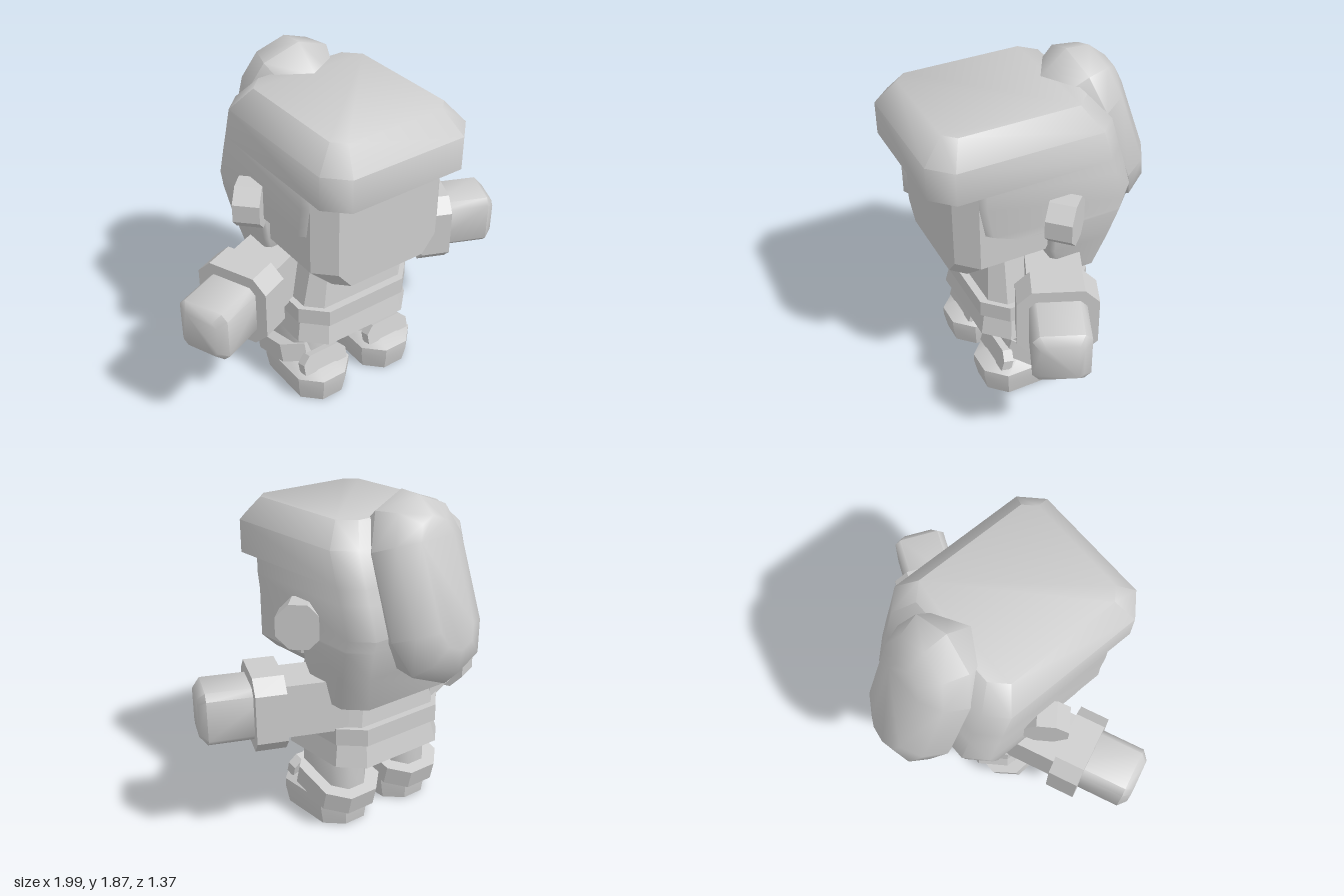
import * as THREE from 'three';
import { toCreasedNormals } from 'three/addons/utils/BufferGeometryUtils.js';

const clay = new THREE.MeshStandardMaterial({ color: 0xcccccc });
clay.name = 'light grey';

// Rectangle with cut corners at height y; cf and cb are the front and back cuts
function cutRect(y, hx, zBack, zFront, cf, cb = cf) {
  return [
    [hx, zBack + cb], [hx, zFront - cf], [hx - cf, zFront], [-hx + cf, zFront],
    [-hx, zFront - cf], [-hx, zBack + cb], [-hx + cb, zBack], [hx - cb, zBack],
  ].map(([x, z]) => [x, y, z]);
}

// Stadium outline: two half circles joined by straight sides
function stadium(y, r, z0, z1) {
  const ring = [];
  for (let i = 0; i < 10; i++) {
    const a = (i < 5 ? i : i - 1) * Math.PI / 4;
    ring.push([r * Math.cos(a), y, (i < 5 ? z1 : z0) + r * Math.sin(a)]);
  }
  return ring;
}

// Skin stacked rings from bottom to top and close both ends
function loft(rings, crease = 0.5) {
  const n = rings[0].length, last = (rings.length - 1) * n, index = [];
  for (let i = 0; i < rings.length - 1; i++) {
    for (let j = 0; j < n; j++) {
      const a = i * n + j, b = i * n + (j + 1) % n;
      index.push(a, a + n, b + n, a, b + n, b);
    }
  }
  for (let j = 1; j < n - 1; j++) {
    index.push(0, j, j + 1, last, last + j + 1, last + j);
  }
  const g = new THREE.BufferGeometry();
  g.setAttribute('position', new THREE.Float32BufferAttribute(rings.flat(2), 3));
  g.setIndex(index);
  return toCreasedNormals(g, crease);
}

function add(parent, name, geometry, x = 0, y = 0, z = 0) {
  const mesh = new THREE.Mesh(geometry, clay);
  mesh.name = name;
  mesh.position.set(x, y, z);
  parent.add(mesh);
  return mesh;
}

export function createModel() {
  const model = new THREE.Group();
  model.name = 'chunkyFigure';

  // Head
  add(model, 'face', loft([
    cutRect(0.9, 0.3, 0.0, 0.56, 0.07),
    cutRect(1.0, 0.41, 0.0, 0.56, 0.1),
    cutRect(1.5, 0.41, 0.0, 0.56, 0.1),
  ]));
  add(model, 'hair', loft([
    cutRect(0.77, 0.38, -0.3, 0.03, 0.04, 0.1),
    cutRect(0.97, 0.42, -0.36, 0.07, 0.02, 0.1),
    cutRect(1.13, 0.44, -0.41, 0.07, 0.02, 0.1),
    cutRect(1.14, 0.44, -0.41, 0.29, 0.03, 0.1),
    cutRect(1.2, 0.44, -0.43, 0.44, 0.04, 0.1),
    cutRect(1.37, 0.44, -0.38, 0.48, 0.05, 0.1),
    cutRect(1.45, 0.44, -0.354, 0.48, 0.05, 0.1),
    cutRect(1.45, 0.44, -0.354, 0.69, 0.11, 0.1),
    cutRect(1.63, 0.44, -0.3, 0.69, 0.11, 0.1),
    cutRect(1.75, 0.34, -0.2, 0.58, 0.06, 0.08),
  ], 0.85));

  // Long bun leaning against the back of the head
  const bun = add(model, 'hairBun', loft([
    stadium(0.66, 0.205, 0.96, 1.41),
    stadium(0.843, 0.275, 0.96, 1.41),
    stadium(0.965, 0.22, 0.96, 1.41),
    stadium(1.03, 0.11, 0.96, 1.41),
  ], 0.85));
  bun.rotation.x = -1.224;

  // Torso
  add(model, 'tunic', loft([
    cutRect(0.6, 0.335, -0.21, 0.36, 0.08),
    cutRect(0.95, 0.25, -0.17, 0.32, 0.06),
  ]));
  add(model, 'belt', loft([
    cutRect(0.53, 0.365, -0.25, 0.4, 0.12),
    cutRect(0.625, 0.365, -0.25, 0.4, 0.12),
  ]));
  add(model, 'skirt', loft([
    cutRect(0.4, 0.37, -0.25, 0.4, 0.12),
    cutRect(0.54, 0.34, -0.22, 0.37, 0.11),
  ]));

  for (const side of [1, -1]) {
    const label = side > 0 ? 'left' : 'right';

    // Ear, an eight-sided block turned half forward
    const ear = new THREE.Group();
    ear.name = label + 'Ear';
    ear.position.set(side * 0.466, 1.205, 0.02);
    ear.rotation.y = side * Math.PI / 4;
    const disc = new THREE.CylinderGeometry(0.13, 0.13, 0.14, 8)
      .rotateY(Math.PI / 8).rotateZ(Math.PI / 2);
    add(ear, label + 'EarBlock', toCreasedNormals(disc, 0.5));
    model.add(ear);

    // Arm, built pointing outward and swung forward
    const arm = new THREE.Group();
    arm.name = label + 'Arm';
    arm.position.set(side * 0.623, 0.757, 0.145);
    arm.rotation.y = -side * 0.408;
    add(arm, label + 'Sleeve', new THREE.BoxGeometry(0.42, 0.29, 0.29), -side * 0.21);
    const cuff = loft([
      cutRect(-0.082, 0.207, -0.207, 0.207, 0.075),
      cutRect(0.082, 0.207, -0.207, 0.207, 0.075),
    ]);
    add(arm, label + 'Cuff', cuff).rotation.z = -side * Math.PI / 2;
    const hand = loft([
      cutRect(0, 0.145, -0.145, 0.145, 0.035),
      cutRect(0.32, 0.145, -0.145, 0.145, 0.035),
      cutRect(0.36, 0.105, -0.105, 0.105, 0.025),
    ], 0.85);
    add(arm, label + 'Hand', hand).rotation.z = -side * Math.PI / 2;
    model.add(arm);

    // Leg and boot
    const leg = new THREE.Group();
    leg.name = label + 'Leg';
    leg.position.x = side * 0.22;
    add(leg, label + 'Shin', loft([
      cutRect(0.1, 0.125, -0.12, 0.265, 0.07),
      cutRect(0.42, 0.12, -0.12, 0.265, 0.07),
    ], 0.85));
    add(leg, label + 'Shoe', loft([
      cutRect(0, 0.155, -0.105, 0.39, 0.09),
      cutRect(0.1, 0.172, -0.12, 0.41, 0.1),
      cutRect(0.15, 0.172, -0.12, 0.41, 0.1),
      cutRect(0.21, 0.1, -0.1, 0.27, 0.06),
    ]));
    const band = add(leg, label + 'AnkleBand', loft([
      cutRect(-0.055, 0.187, -0.225, 0.225, 0.1),
      cutRect(0.055, 0.187, -0.225, 0.225, 0.1),
    ]), 0, 0.212, 0.045);
    band.rotation.x = -0.275;
    const strap = add(leg, label + 'ToeStrap', loft([
      cutRect(-0.03, 0.14, -0.055, 0.055, 0.005, 0.045),
      cutRect(0.03, 0.14, -0.055, 0.055, 0.005, 0.045),
    ]), 0, 0.22, 0.293);
    strap.rotation.x = Math.PI / 2 - 0.27;
    model.add(leg);
  }
  return model;
}
